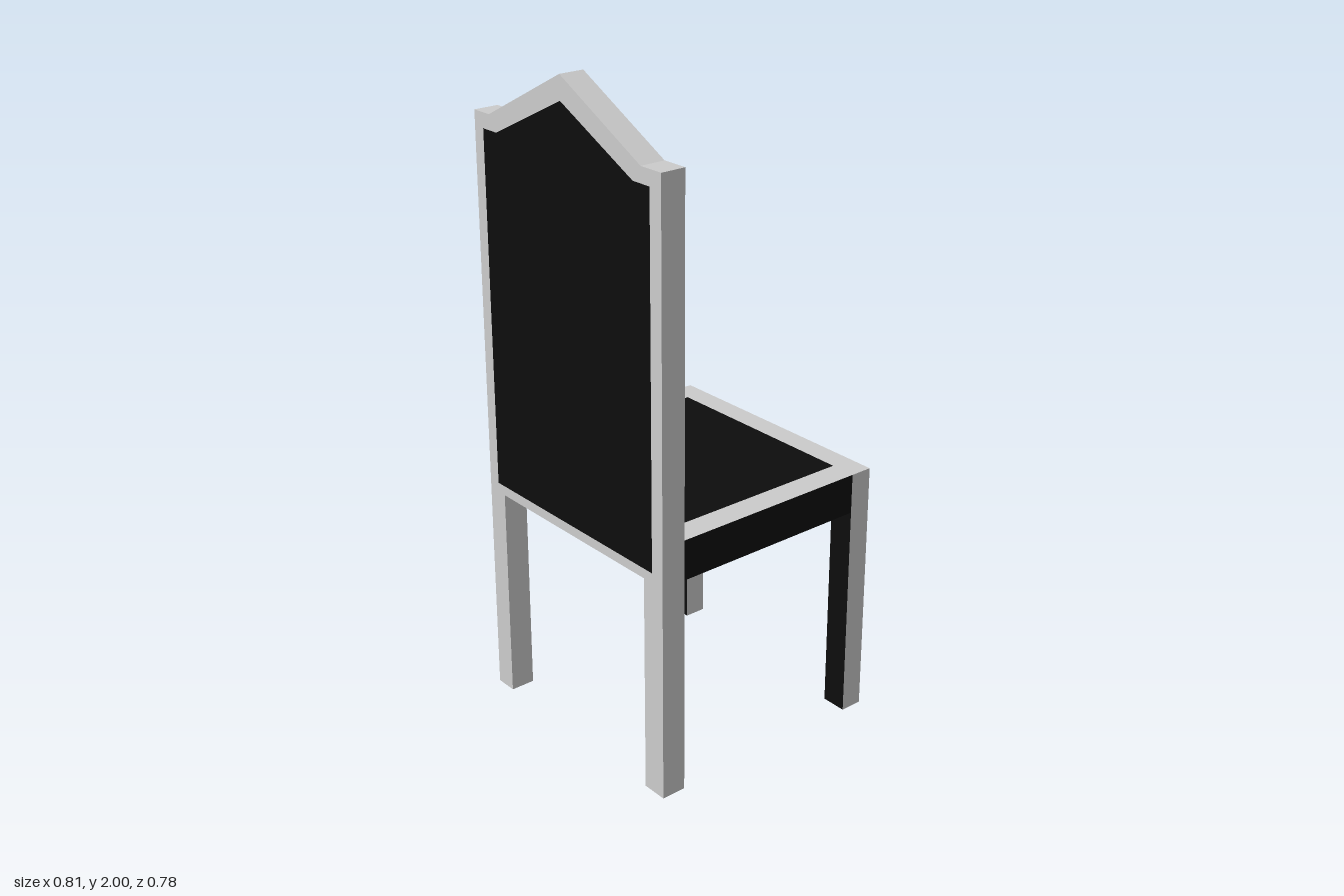
import * as THREE from 'three';

const frameMat = new THREE.MeshStandardMaterial({ color: 0xcccccc, flatShading: true });
const darkMat = new THREE.MeshStandardMaterial({ color: 0x0d0d0d, flatShading: true });

// Main levels and plan lines
const SEAT_BOTTOM = 0.675, SEAT_TOP = 0.797;
const X = { outL: -0.405, inL: -0.335, inR: 0.325, outR: 0.405 };
const Z = { front: -0.39, railBack: -0.32, backFace: 0.313, rear: 0.39 };

// Box between two corners; dark lists the faces painted dark (order +x -x +y -y +z -z)
function block(name, [x0, y0, z0], [x1, y1, z1], dark = []) {
  const geometry = new THREE.BoxGeometry(x1 - x0, y1 - y0, z1 - z0);
  const materials = ['+x', '-x', '+y', '-y', '+z', '-z'].map((f) => (dark.includes(f) ? darkMat : frameMat));
  const mesh = new THREE.Mesh(geometry, materials);
  mesh.position.set((x0 + x1) / 2, (y0 + y1) / 2, (z0 + z1) / 2);
  mesh.name = name;
  return mesh;
}

function extrude(name, shape, z, depth, material) {
  const mesh = new THREE.Mesh(new THREE.ExtrudeGeometry(shape, { depth, bevelEnabled: false }), material);
  mesh.position.z = z;
  mesh.name = name;
  return mesh;
}

const polygon = (points) => points.map(([x, y]) => new THREE.Vector2(x, y));

// One half of the backrest thickness: peaked frame around a flush dark panel
function backrestLayer(side, z, depth, panelBottom) {
  const group = new THREE.Group();
  group.name = side + 'Backrest';
  const outline = polygon([
    [X.outL, SEAT_BOTTOM], [X.outR, SEAT_BOTTOM], [X.outR, 1.83], [X.inR, 1.83],
    [-0.005, 2], [X.inL, 1.83], [X.outL, 1.83],
  ]);
  const opening = polygon([
    [-0.365, panelBottom], [0.36, panelBottom], [0.36, 1.785], [0.293, 1.785],
    [-0.005, 1.93], [-0.303, 1.785], [-0.365, 1.785],
  ]);
  const frame = new THREE.Shape(outline);
  frame.holes.push(new THREE.Path(opening));
  group.add(
    extrude('backrestFrame', frame, z, depth, frameMat),
    extrude('backrestPanel', new THREE.Shape(opening), z, depth, darkMat),
  );
  return group;
}

export function createModel() {
  const chair = new THREE.Group();
  chair.name = 'chair';

  // Legs and side rails, one of each per side
  for (const [side, x0, x1] of [['right', X.outL, X.inL], ['left', X.inR, X.outR]]) {
    chair.add(
      block(side + 'FrontLeg', [x0, 0, Z.front], [x1, SEAT_TOP, Z.railBack], ['+z', '-z']),
      block(side + 'RearLeg', [x0, 0, Z.backFace], [x1, SEAT_BOTTOM, Z.rear], ['-z']),
      block(side + 'SeatRail', [x0, SEAT_BOTTOM, Z.railBack], [x1, SEAT_TOP, Z.backFace],
        ['+x', '-x', '-y', '+z', '-z']),
    );
  }

  // Seat front rail and dark seat panel
  chair.add(
    block('frontSeatRail', [X.inL, SEAT_BOTTOM, Z.front], [X.inR, SEAT_TOP, Z.railBack], ['+z', '-z']),
    block('seatPanel', [X.inL, SEAT_BOTTOM, Z.railBack], [X.inR, SEAT_TOP, Z.backFace],
      ['+x', '-x', '+y', '-y', '+z', '-z']),
  );

  // Backrest: the panel starts above the seat inside, and lower down outside
  const half = (Z.rear - Z.backFace) / 2;
  chair.add(
    backrestLayer('inner', Z.backFace, half, 0.835),
    backrestLayer('outer', Z.backFace + half, half, 0.705),
  );
  return chair;
}
